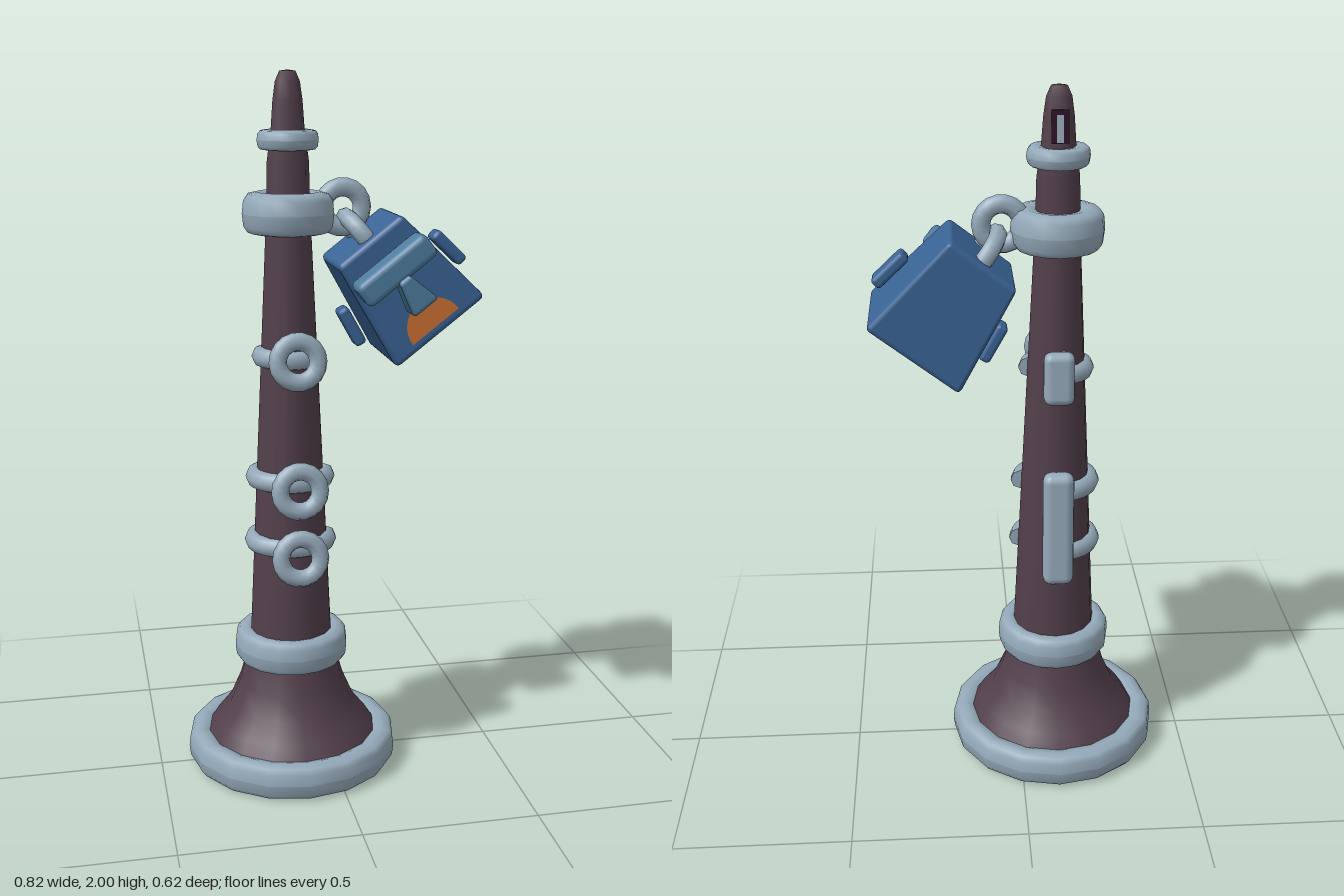
import * as THREE from 'three';
import { RoundedBoxGeometry } from 'three/addons/geometries/RoundedBoxGeometry.js';

const paint = (name, color) => Object.assign(new THREE.MeshStandardMaterial({ color }), { name });
const V = (r, y) => new THREE.Vector2(r, y);

// Closed ring with a soft rounded-rectangle section
function ringGeometry(y0, y1, rIn, rOut, sides = 16) {
  const pts = [];
  const power = (v) => Math.sign(v) * Math.abs(v) ** 0.7;
  for (let i = 0; i <= 12; i++) {
    const a = (i / 12) * Math.PI * 2;
    pts.push(V((rIn + rOut) / 2 + (power(Math.cos(a)) * (rOut - rIn)) / 2,
      (y0 + y1) / 2 + (power(Math.sin(a)) * (y1 - y0)) / 2));
  }
  return new THREE.LatheGeometry(pts, sides);
}

// Rounded box whose upper end is narrowed
function taperedBox(w, h, d, radius, topX, topZ) {
  const g = new RoundedBoxGeometry(w, h, d, 2, radius);
  const p = g.attributes.position;
  for (let i = 0; i < p.count; i++) {
    const t = p.getY(i) / h + 0.5;
    p.setX(i, p.getX(i) * (1 + (topX - 1) * t));
    p.setZ(i, p.getZ(i) * (1 + (topZ - 1) * t));
  }
  return g;
}

export function createModel() {
  const wood = paint('dark wood', 0x523f4b);
  const metal = paint('pale metal', 0x94a9b9);
  const blue = paint('blue', 0x3a6496);
  const lightBlue = paint('light blue', 0x4f7d9f);
  const orange = paint('orange', 0xc06a2e);
  const dark = paint('dark purple', 0x2a0d22);

  const model = new THREE.Group();
  model.name = 'clarinetWithCharm';
  const pipe = new THREE.Group();
  pipe.name = 'clarinet';
  pipe.position.x = -0.106;
  model.add(pipe);

  const add = (parent, name, geometry, material, x = 0, y = 0, z = 0, rx = 0, ry = 0, rz = 0) => {
    const m = new THREE.Mesh(geometry, material);
    m.name = name;
    m.position.set(x, y, z);
    m.rotation.set(rx, ry, rz);
    parent.add(m);
    return m;
  };

  // Hollow bell, flaring to the bottom
  add(pipe, 'bell', new THREE.LatheGeometry(
    [V(0.25, 0.09), V(0.225, 0.13), V(0.185, 0.18), V(0.155, 0.25), V(0.132, 0.33), V(0.12, 0.4)], 16), wood);
  add(pipe, 'bellInside', new THREE.LatheGeometry(
    [V(0, 0.42), V(0.1, 0.4), V(0.125, 0.3), V(0.17, 0.18), V(0.25, 0.05)], 16), wood);
  add(pipe, 'bellLip', new THREE.RingGeometry(0.228, 0.262, 16), dark, 0, 0.035, 0, Math.PI / 2);

  // Straight tube and mouthpiece
  add(pipe, 'tube', new THREE.CylinderGeometry(0.063, 0.12, 1.2, 16, 1, true), wood, 0, 0.99, 0);
  add(pipe, 'mouthpiece', new THREE.LatheGeometry(
    [V(0.062, 1.58), V(0.058, 1.76), V(0.046, 1.85), V(0.041, 1.92), V(0.034, 1.97), V(0.022, 1.997), V(0, 2)], 8), wood);
  add(pipe, 'reedOpening', new THREE.BoxGeometry(0.046, 0.085, 0.009), dark, 0, 1.9, -0.043, 0.11);
  add(pipe, 'reed', new THREE.BoxGeometry(0.018, 0.07, 0.006), metal, 0, 1.895, -0.047, 0.11);

  // Metal collars
  add(pipe, 'bellRim', ringGeometry(0, 0.1, 0.235, 0.31), metal);
  add(pipe, 'lowerCollar', ringGeometry(0.315, 0.415, 0.1, 0.166), metal);
  add(pipe, 'upperCollar', ringGeometry(1.565, 1.68, 0.045, 0.128), metal);
  add(pipe, 'mouthpieceCollar', ringGeometry(1.79, 1.845, 0.035, 0.085), metal);

  // Finger rings, each held by a band around three quarters of the tube
  for (const [y, r, z, bandY] of [[0.68, 0.104, 0.168, 0.685], [0.875, 0.099, 0.163, 0.875], [1.235, 0.077, 0.14, 1.225]]) {
    add(pipe, 'fingerRing', new THREE.TorusGeometry(0.056, 0.025, 8, 18), metal, 0, y, z, -0.15);
    const band = new THREE.Group();
    band.name = 'keyBand';
    band.position.y = bandY;
    band.scale.z = 0.93;
    pipe.add(band);
    add(band, 'band', new THREE.TorusGeometry(r, 0.029, 8, 20, Math.PI * 1.5), metal, 0, 0, 0, Math.PI / 2);
    add(band, 'bandEnd', new THREE.CircleGeometry(0.029, 8), metal, r, 0, 0, 0, Math.PI);
  }

  // Key plates along the back
  add(pipe, 'longKey', new RoundedBoxGeometry(0.088, 0.345, 0.058, 2, 0.025), metal, 0, 0.78, -0.132, 0.045);
  add(pipe, 'shortKey', new RoundedBoxGeometry(0.085, 0.15, 0.052, 2, 0.022), metal, 0, 1.23, -0.106, 0.045);

  // Hanging ring
  add(model, 'hangingRing', new THREE.TorusGeometry(0.055, 0.026, 8, 18), metal, 0.045, 1.635, 0);

  // Tilted charm shaped like a small bag
  const charm = new THREE.Group();
  charm.name = 'bagCharm';
  charm.position.set(0.193, 1.43, 0);
  charm.rotation.z = 0.66;
  model.add(charm);
  add(charm, 'bagLoop', new THREE.TorusGeometry(0.073, 0.025, 8, 14, Math.PI), metal, 0, 0.153, 0, 0, Math.PI / 2);
  add(charm, 'bagBody', taperedBox(0.312, 0.318, 0.322, 0.016, 0.71, 0.745), blue);
  add(charm, 'flapBar', new RoundedBoxGeometry(0.235, 0.072, 0.09, 2, 0.018), lightBlue, 0, 0.07, 0.175);
  add(charm, 'flapStrap', taperedBox(0.085, 0.1, 0.09, 0.012, 0.4, 0.85), lightBlue, 0, -0.005, 0.192);
  add(charm, 'frontPocket', new THREE.CircleGeometry(0.08, 16, 0, Math.PI), orange, -0.003, -0.134, 0.161, -0.126);
  for (const s of [-1, 1])
    add(charm, 'sidePocket', new RoundedBoxGeometry(0.034, 0.118, 0.062, 2, 0.012), blue, s * 0.175, -0.024, 0, 0, 0, s * 0.15);

  return model;
}
